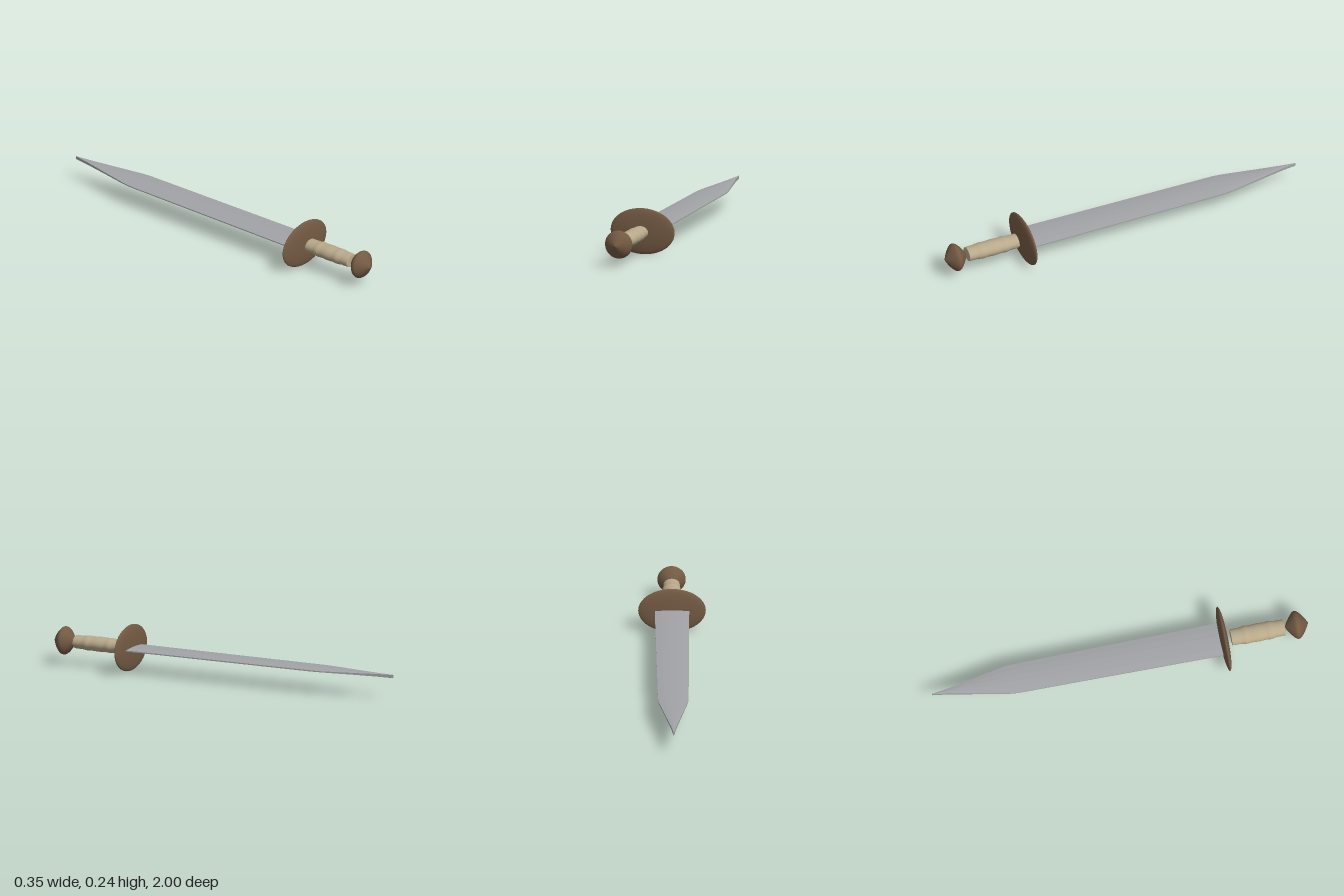
import * as THREE from 'three';

const AXIS_Y = 0.122;

function material(name, color, extra = {}) {
  const m = new THREE.MeshStandardMaterial({ color, ...extra });
  m.name = name;
  return m;
}

// Profile of [radius, z] pairs, smoothed and spun around the sword's long axis
function spun(profile, samples) {
  const curve = new THREE.SplineCurve(profile.map(([r, z]) => new THREE.Vector2(r, z)));
  const pts = curve.getPoints(samples).map(p => new THREE.Vector2(Math.max(p.x, 0), p.y));
  return new THREE.LatheGeometry(pts, 48).rotateX(Math.PI / 2);
}

// Blade: shallow lens cross-sections lofted from the guard to the tip
function bladeGeometry() {
  const stations = [ // z, half width, edge half thickness
    [0.55, 0.09, 0.003], [0, 0.085, 0.003], [-0.56, 0.08, 0.003], [-0.61, 0.075, 0.003],
    [-0.8, 0.037, 0.005], [-0.92, 0.013, 0.007], [-1, 0.001, 0.008],
  ];
  const across = [1, 0.6, 0.2, -0.2, -0.6, -1];
  const rings = stations.map(([z, w, edge]) => {
    const top = across.map(t => [t * w, edge + (0.009 - edge) * (1 - t * t), z]);
    const bottom = top.map(([x, y]) => [x, -y, z]).reverse();
    return [...top, ...bottom];
  });
  const n = rings[0].length, pos = [];
  for (let i = 0; i < rings.length - 1; i++) {
    for (let j = 0; j < n; j++) {
      const k = (j + 1) % n;
      const a = rings[i][j], b = rings[i][k], c = rings[i + 1][j], d = rings[i + 1][k];
      pos.push(...a, ...c, ...b, ...b, ...c, ...d);
    }
  }
  // End caps
  const base = rings[0], tip = rings[rings.length - 1];
  for (let j = 1; j < n - 1; j++) {
    pos.push(...base[0], ...base[j], ...base[j + 1]);
    pos.push(...tip[0], ...tip[j + 1], ...tip[j]);
  }
  const g = new THREE.BufferGeometry();
  g.setAttribute('position', new THREE.Float32BufferAttribute(pos, 3));
  g.computeVertexNormals();
  return g;
}

export function createModel() {
  const wood = material('brown wood', 0x735a43);
  const bone = material('pale bone', 0xb8a98a);
  const steel = material('grey steel', 0xa2a3a6);

  const group = new THREE.Group();
  group.name = 'sword';
  const add = (name, geometry, mat) => {
    const mesh = new THREE.Mesh(geometry, mat);
    mesh.name = name;
    mesh.position.y = AXIS_Y;
    group.add(mesh);
    return mesh;
  };

  add('blade', bladeGeometry(), steel);

  // Oval lens-shaped guard
  const guard = add('guard', new THREE.SphereGeometry(1, 64, 32).scale(0.176, 0.122, 0.021), wood);
  guard.position.z = 0.551;

  // Grip with finger swells, slightly wider than tall
  const grip = spun([
    [0, 0.588], [0.038, 0.589], [0.043, 0.595], [0.044, 0.63], [0.045, 0.642],
    [0.049, 0.665], [0.047, 0.69], [0.049, 0.73], [0.047, 0.77],
    [0.049, 0.795], [0.045, 0.82], [0.044, 0.83], [0.043, 0.866], [0.038, 0.873], [0, 0.874],
  ], 84).scale(1, 0.8, 1);
  add('grip', grip, bone);

  // Spinning-top pommel, pointed at both ends
  add('pommel', spun([
    [0, 0.876], [0.022, 0.887], [0.05, 0.907], [0.069, 0.925], [0.074, 0.938],
    [0.069, 0.951], [0.05, 0.969], [0.022, 0.988], [0, 1],
  ], 40), wood);

  return group;
}
